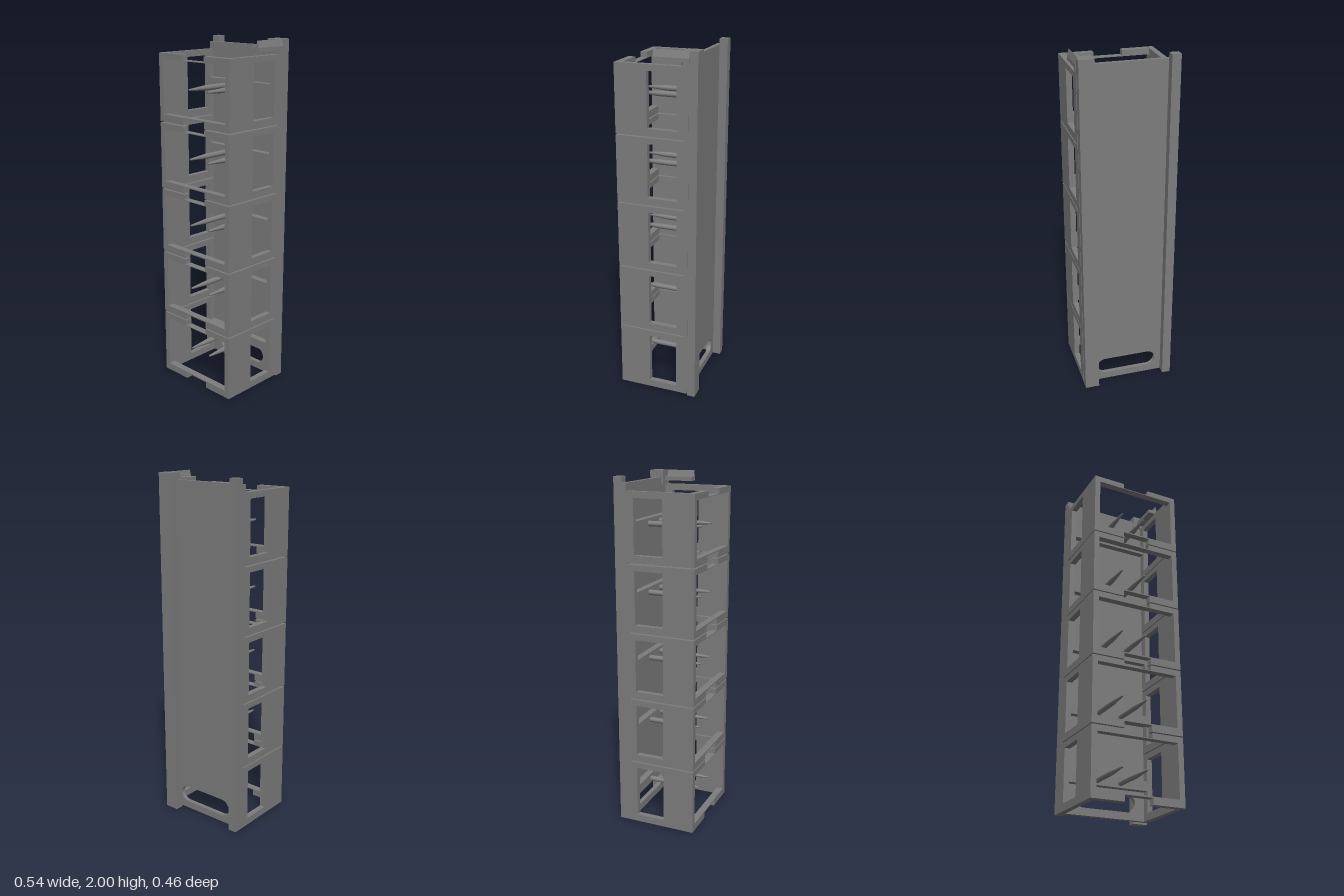
import * as THREE from 'three';

const mat = new THREE.MeshStandardMaterial({ color: 0x7c7c7c });
const polygon = (pts) => new THREE.Shape(pts.map(([x, y]) => new THREE.Vector2(x, y)));

export function createModel() {
  const model = new THREE.Group();
  model.name = 'stackedRack';

  const add = (parent, name, geo, x = 0, y = 0, z = 0) => {
    const m = new THREE.Mesh(geo, mat);
    m.name = name;
    m.position.set(x, y, z);
    parent.add(m);
  };
  // Box given by its limits on each axis
  const box = (parent, name, x0, x1, y0, y1, z0, z1) =>
    add(parent, name, new THREE.BoxGeometry(x1 - x0, y1 - y0, z1 - z0),
      (x0 + x1) / 2, (y0 + y1) / 2, (z0 + z1) / 2);
  const extrude = (shape, depth) =>
    new THREE.ExtrudeGeometry(shape, { depth, bevelEnabled: false, curveSegments: 16 });

  const W = 0.268, IN = 0.236;            // outer and inner half width
  const H = 0.377, PITCH = 0.3835, Y0 = 0.011;
  const LOW = 0.042, HIGH = 0.343;        // opening limits within a tier
  const FRONT = 0.229, PLATE = -0.158, BAR = -0.12;

  // Side wall with a window, drawn in (z, y)
  const wall = polygon([[PLATE, 0], [FRONT, 0], [FRONT, H], [PLATE, H]]);
  wall.holes.push(polygon([[-0.117, LOW], [-0.117, HIGH], [0.048, HIGH], [0.048, LOW]]));
  const wallGeo = extrude(wall, W - IN).rotateY(-Math.PI / 2);

  // Front rails, notched in the middle
  const N = 0.081, D = 0.03;
  const topRail = extrude(polygon([[-IN, HIGH], [IN, HIGH], [IN, H], [N, H], [N, H - D],
    [-N, H - D], [-N, H], [-IN, H]]), 0.04);
  const bottomRail = extrude(polygon([[-IN, 0], [-N, 0], [-N, D + 0.005], [N, D + 0.005], [N, 0],
    [IN, 0], [IN, LOW], [-IN, LOW]]), 0.04);

  // Tapered pin pointing to the front
  const pinGeo = new THREE.LatheGeometry([[0.0152, 0], [0.0152, 0.185], [0.005, 0.31], [0, 0.31]]
    .map(([r, y]) => new THREE.Vector2(r, y)), 20).rotateX(Math.PI / 2);

  // Five equal tiers
  for (let i = 0; i < 5; i++) {
    const tier = new THREE.Group();
    tier.name = 'tier' + (i + 1);
    tier.position.y = Y0 + i * PITCH;
    model.add(tier);
    add(tier, 'leftWall', wallGeo, W);
    add(tier, 'rightWall', wallGeo, -IN);
    add(tier, 'frontTopRail', topRail, 0, 0, FRONT - 0.04);
    add(tier, 'frontBottomRail', bottomRail, 0, 0, FRONT - 0.04);
    box(tier, 'pinBar', -IN, IN, 0.162, 0.218, PLATE, BAR);
    for (const x of [-0.072, 0.072]) add(tier, 'pin', pinGeo, x, 0.188, BAR);
  }

  // Back plate with a rounded slot near the foot
  const plate = polygon([[-W, Y0], [W, Y0], [W, 1.963], [-W, 1.963]]);
  const slot = new THREE.Path();
  const r = 0.05, cy = 0.103, cx = 0.131;
  slot.absarc(cx, cy, r, -Math.PI / 2, Math.PI / 2, false);
  slot.absarc(-cx, cy, r, Math.PI / 2, Math.PI * 1.5, false);
  slot.closePath();
  plate.holes.push(slot);
  add(model, 'backPlate', extrude(plate, PLATE + 0.183), 0, 0, -0.183);

  // Rear posts
  box(model, 'rightPost', -W, -0.218, Y0, 1.995, -0.23, -0.183);
  box(model, 'leftPost', 0.183, 0.266, 0, 2, -0.23, -0.183);
  // Post head, bevelled on its outer side
  const head = polygon([[0.183, 1.92], [W, 1.92], [W, 1.963], [0.257, 2], [0.183, 2]]);
  add(model, 'leftPostHead', extrude(head, 0.033), 0, 0, -0.183);

  // Forward latch arm: a flat shelf with a tapered upright fin
  const arm = polygon([[0.211, 1.943], [W, 1.943], [W, 1.963], [0.257, 2], [0.248, 1.966], [0.211, 1.966]]);
  add(model, 'latchArm', extrude(arm, 0.162), 0, 0, -0.15);

  return model;
}
